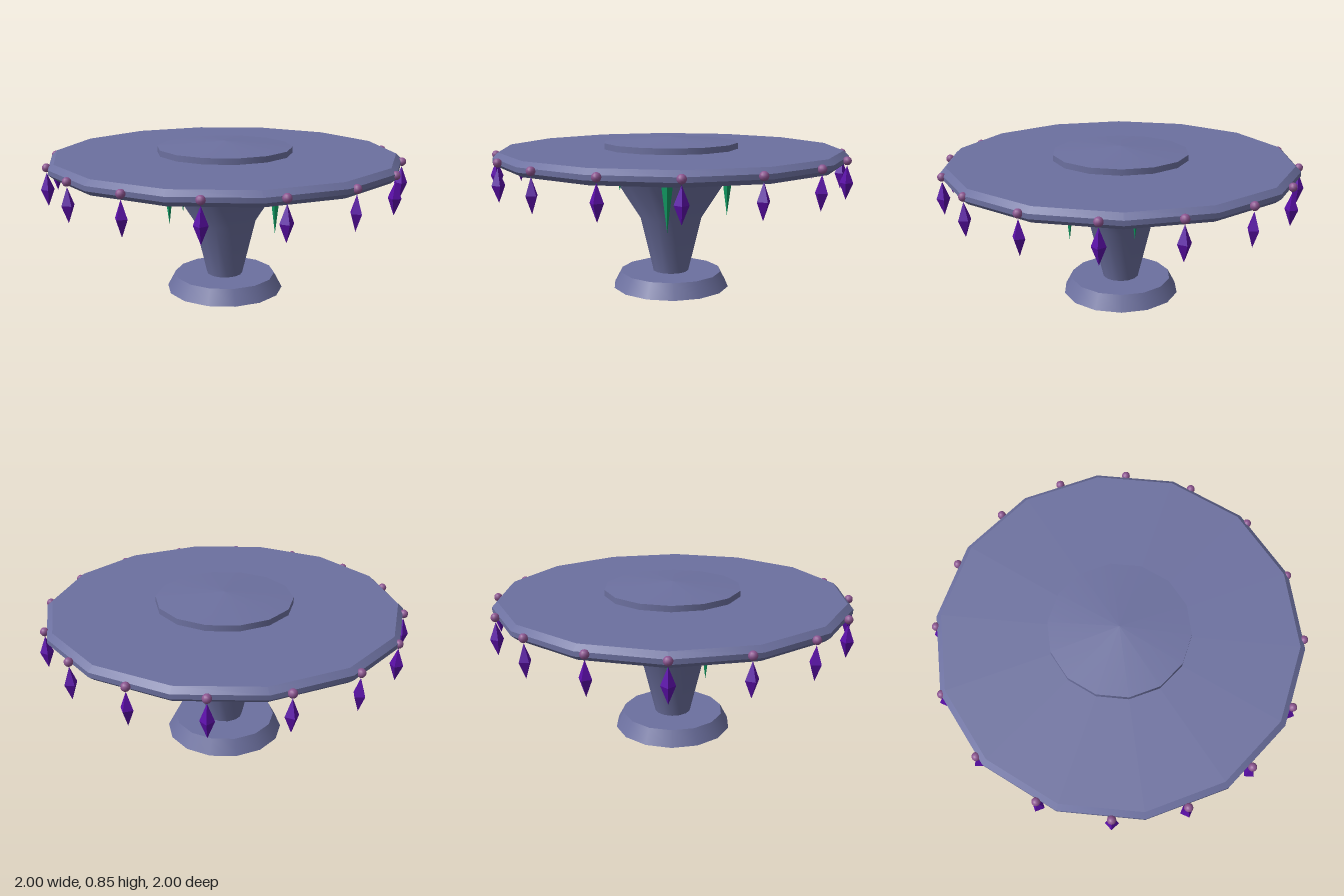
import * as THREE from 'three';

const SIDES = 14;

// Lathe with one vertex column on the +x axis
function lathe(profile, sides) {
  const points = profile.map(([r, y]) => new THREE.Vector2(r, y));
  return new THREE.LatheGeometry(points, sides, Math.PI / 2);
}

// Faceted double-pointed shard
function shard(profile, sides) {
  const geometry = lathe(profile, sides).toNonIndexed();
  geometry.computeVertexNormals();
  return geometry;
}

export function createModel() {
  const model = new THREE.Group();
  model.name = 'pedestalTable';

  const material = (name, color) => {
    const m = new THREE.MeshStandardMaterial({ color });
    m.name = name;
    return m;
  };
  const stone = material('slateStone', 0x6c709f);
  const violet = material('violetGem', 0x5b0fa8);
  const mauve = material('mauveBead', 0x8c5590);
  const green = material('greenCrystal', 0x109a62);

  const add = (parent, name, geometry, mat) => {
    const mesh = new THREE.Mesh(geometry, mat);
    mesh.name = name;
    parent.add(mesh);
    return mesh;
  };

  // Each band is its own surface, so the edge between bands stays sharp
  const addBands = (name, bands) => {
    const group = new THREE.Group();
    group.name = name;
    bands.forEach((band, i) => add(group, `${name}Band${i + 1}`, lathe(band, SIDES), stone));
    model.add(group);
  };

  // Foot
  addBands('foot', [
    [[0, 0], [0.33, 0]],
    [[0.33, 0], [0.285, 0.085]],
    [[0.285, 0.085], [0, 0.085]],
  ]);

  // Flared column, ending in the raised centre of the table
  addBands('column', [
    [[0.1, 0.08], [0.175, 0.395], [0.375, 0.71]],
    [[0.375, 0.71], [0.375, 0.82]],
    [[0.375, 0.82], [0, 0.85]],
  ]);

  // Table top with bevelled rim
  addBands('tableTop', [
    [[0, 0.71], [0.94, 0.71]],
    [[0.94, 0.71], [0.97, 0.735]],
    [[0.97, 0.735], [0.97, 0.76]],
    [[0.97, 0.76], [0.94, 0.787]],
    [[0.94, 0.787], [0, 0.787]],
  ]);

  // Pendants hung round the rim
  const gemGeometry = shard([[0, 0.548], [0.035, 0.637], [0, 0.727]], 4);
  const beadGeometry = new THREE.SphereGeometry(0.023, 12, 8);
  for (let i = 0; i < 16; i++) {
    const pendant = new THREE.Group();
    pendant.name = `pendant${i + 1}`;
    pendant.rotation.y = (i * Math.PI) / 8;
    add(pendant, 'gem', gemGeometry, violet).position.x = 0.965;
    add(pendant, 'bead', beadGeometry, mauve).position.set(0.965, 0.752, 0);
    model.add(pendant);
  }

  // Crystal spikes under the table: x, z, tip height, top height
  const spikes = [
    [0.33, 0.035, 0.37, 0.69],
    [0.15, -0.3, 0.43, 0.72],
    [-0.29, -0.02, 0.4, 0.68],
    [-0.255, 0.18, 0.38, 0.68],
    [0.08, 0.285, 0.56, 0.73],
  ];
  spikes.forEach(([x, z, tip, top], i) => {
    const h = top - tip;
    const geometry = shard([[0, 0], [0.033, h * 0.82], [0, h]], 5);
    const spike = add(model, `crystalSpike${i + 1}`, geometry, green);
    spike.position.set(x, tip, z);
    spike.rotation.y = Math.atan2(-z, x);
  });

  return model;
}
